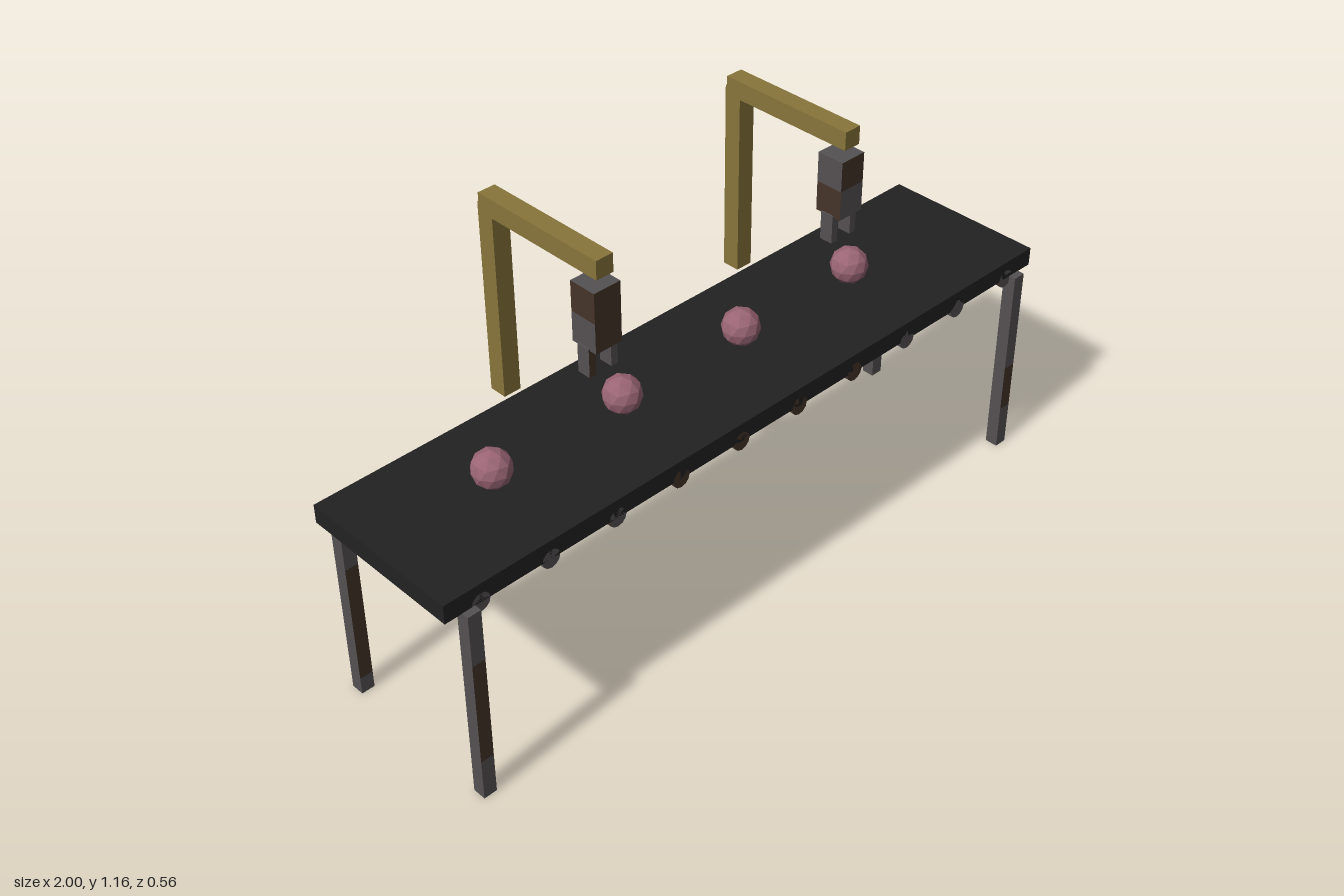
import * as THREE from 'three';

const paint = (name, color) => {
  const m = new THREE.MeshStandardMaterial({ color });
  m.name = name;
  m.flatShading = true;
  return m;
};

export function createModel() {
  const beltMat = paint('black rubber', 0x222222);
  const goldMat = paint('ochre paint', 0x88753b);
  const steel = paint('grey steel', 0x555152);
  const rust = paint('brown rust', 0x46342a);
  const pink = paint('dusty pink', 0x9a6575);

  const model = new THREE.Group();
  model.name = 'conveyorTable';

  const add = (parent, name, geometry, material, x, y, z) => {
    const mesh = new THREE.Mesh(geometry, material);
    mesh.name = name;
    mesh.position.set(x, y, z);
    parent.add(mesh);
    return mesh;
  };
  const box = (parent, name, w, h, d, material, x, y, z) =>
    add(parent, name, new THREE.BoxGeometry(w, h, d), material, x, y, z);
  const group = (name) => {
    const g = new THREE.Group();
    g.name = name;
    model.add(g);
    return g;
  };

  // Steel box faces, with the listed faces rusted (+x -x +y -y +z -z = 0..5)
  const rusted = (faces) => [0, 1, 2, 3, 4, 5].map((i) => (faces.includes(i) ? rust : steel));

  // Belt
  const midZ = 0.027;
  box(model, 'belt', 2, 0.052, 0.465, beltMat, 0, 0.592, midZ);

  // Legs, stacked from sections: [top height, rusted faces]
  const leg = (name, x, z, sections) => {
    const g = group(name);
    let y = 0;
    for (const [top, faces] of sections) {
      box(g, 'legSection', 0.037, top - y, 0.037, rusted(faces), x, (y + top) / 2, z);
      y = top;
    }
  };
  leg('frontRightLeg', -0.935, 0.261, [[0.12, []], [0.42, [0, 4, 5]], [0.567, []]]);
  leg('frontLeftLeg', 0.935, 0.261, [[0.13, []], [0.27, [4]], [0.43, []], [0.567, [0]]]);
  leg('backRightLeg', -0.935, -0.207, [[0.05, []], [0.15, [4]], [0.4, [0, 4, 5]], [0.567, []]]);
  leg('backLeftLeg', 0.935, -0.207, [[0.13, []], [0.37, [4]], [0.567, []]]);

  // Rollers in a front and a back half: F front half rusted, B both, '-' clean
  const half = new THREE.CylinderGeometry(0.026, 0.026, 0.2325, 12).rotateX(Math.PI / 2);
  [...'--FBBBB--F'].forEach((wear, i) => {
    const x = -0.9 + 0.2 * i;
    const g = group('roller');
    const front = wear === '-' ? steel : rust;
    const back = wear === 'B' ? rust : steel;
    const cap = wear === 'B' ? rust : steel;
    add(g, 'rollerFront', half, [front, cap, front], x, 0.566, midZ + 0.11625);
    add(g, 'rollerBack', half, [back, back, cap], x, 0.566, midZ - 0.11625);
  });

  // Overhead arms with hanging grippers
  for (const side of [-1, 1]) {
    const x = 0.4 * side;
    const arm = group(side < 0 ? 'rightArm' : 'leftArm');
    box(arm, 'post', 0.05, 0.53, 0.05, goldMat, x, 0.872, -0.252);
    box(arm, 'beam', 0.05, 0.05, 0.4, goldMat, x, 1.138, -0.073);

    // Gripper body, weathered more on one arm
    const upper = side < 0 ? [1, 4, 5] : [4];
    const lower = side < 0 ? [0, 4] : [1];
    box(arm, 'gripperTop', 0.078, 0.081, 0.078, rusted(upper), x, 1.0465, 0.094);
    box(arm, 'gripperBottom', 0.078, 0.081, 0.078, rusted(lower), x, 0.9655, 0.094);
    for (const s of [-1, 1]) {
      const worn = side < 0 && s < 0 ? [0, 4] : [];
      box(arm, 'gripperFinger', 0.02, 0.078, 0.038, rusted(worn), x + 0.033 * s, 0.891, 0.094);
    }
  }

  // Faceted balls on the belt
  const ball = new THREE.IcosahedronGeometry(0.051, 1).rotateZ(-0.5536);
  for (let i = 0; i < 4; i++) add(model, 'ball', ball, pink, -0.67 + 0.4 * i, 0.672, midZ);

  return model;
}
